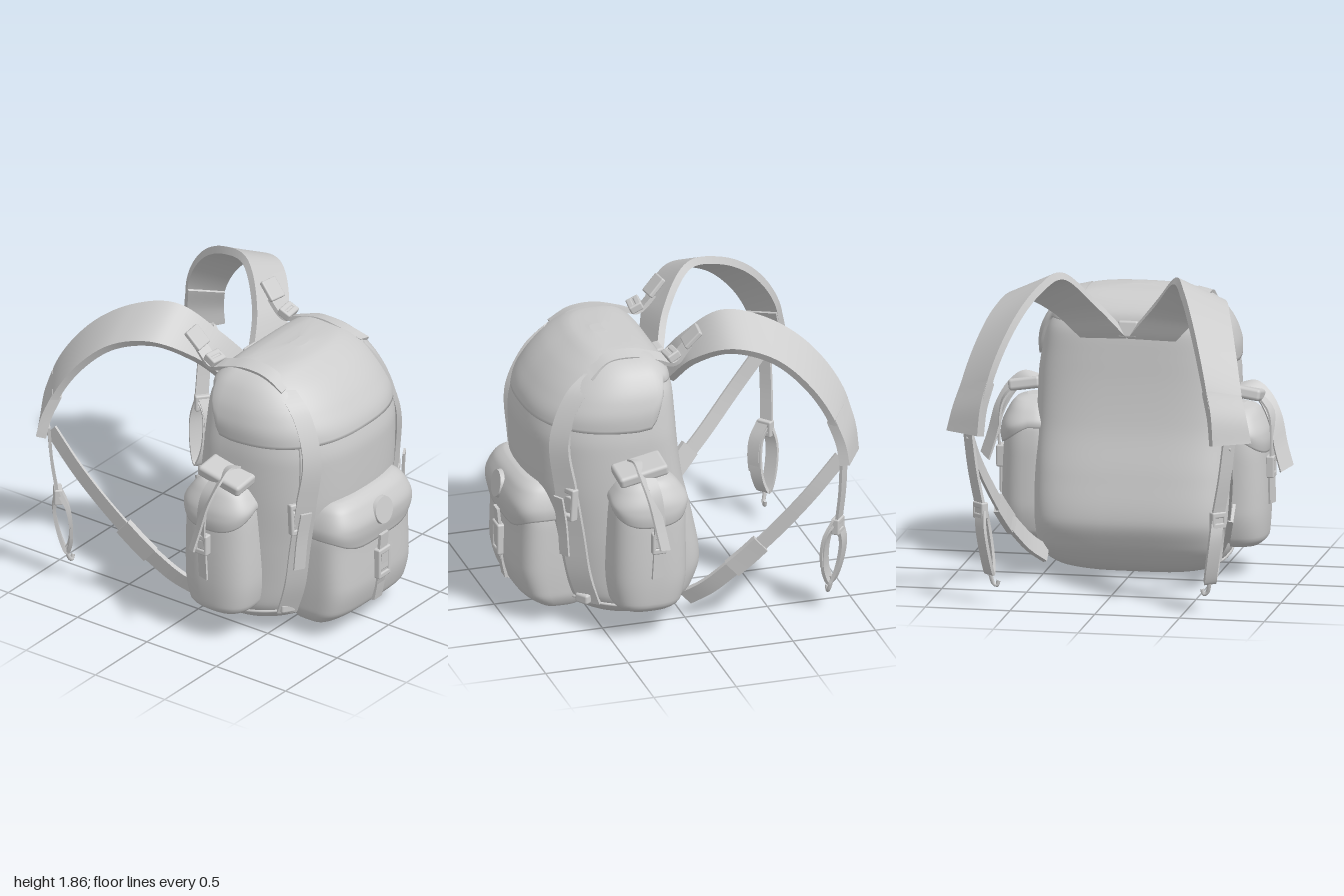
import * as THREE from 'three';
import { toCreasedNormals } from 'three/addons/utils/BufferGeometryUtils.js';
import { RoundedBoxGeometry } from 'three/addons/geometries/RoundedBoxGeometry.js';

const mat = new THREE.MeshStandardMaterial({ color: 0xcccccc, roughness: 0.8 });
const thin = new THREE.MeshStandardMaterial({ color: 0xcccccc, roughness: 0.8, side: THREE.DoubleSide });
const V = (x, y, z) => new THREE.Vector3(x, y, z);
const { lerp, clamp, smoothstep } = THREE.MathUtils;

// Lofted shapes: rows are [y, halfWidth, zBack, zFront]; mid = depth share where widest
const BODY = { cx: -.015, mid: 0.35, nf: 2.5, nb: 4, rows: [
  [0, .02, .24, .27], [.015, .28, .1, .42], [.05, .45, .03, .56], [.11, .53, -.03, .66], [.2, .57, -.09, .73],
  [.35, .58, -.14, .78], [.6, .585, -.1, .82], [.9, .585, -.03, .86], [1.15, .58, 0, .865], [1.3, .56, .01, .835],
  [1.43, .53, .02, .76], [1.54, .47, .06, .66], [1.61, .39, .13, .56], [1.645, .27, .22, .49], [1.66, .02, .35, .4]] };
const FRONT = { cx: -.02, mid: .5, nf: 4, nb: 4, rows: [
  [.06, .25, .58, .7], [.1, .35, .55, .83], [.18, .38, .5, .92], [.35, .385, .5, .955], [.6, .38, .5, .95],
  [.72, .365, .5, .96], [.82, .33, .53, .92], [.87, .27, .6, .86], [.885, .02, .72, .78]] };
const sidePocketShape = s => ({ cx: s * .6, mid: .5, nf: 2.6, nb: 2.6, rows: [
  [.16, .02, .25, .3], [.18, .13, .12, .43], [.23, .175, .07, .48], [.4, .185, .04, .5], [.7, .175, .04, .49],
  [.84, .16, .05, .48], [.93, .12, .1, .43], [.98, .08, .16, .37], [1, .02, .25, .3]] });

// Smooth monotone interpolation of a profile at height y
function section(shape, y) {
  const r = shape.rows, last = r.length - 1;
  let i = 0;
  while (i < last - 1 && y > r[i + 1][0]) i++;
  const h = r[i + 1][0] - r[i][0], t = clamp((y - r[i][0]) / h, 0, 1);
  const sec = (k, c) => (r[k + 1][c] - r[k][c]) / (r[k + 1][0] - r[k][0]);
  const slope = (k, c) => {
    if (k === 0) return sec(0, c);
    if (k === last) return sec(last - 1, c);
    const a = sec(k - 1, c), b = sec(k, c);
    return a * b <= 0 ? 0 : 2 * a * b / (a + b);
  };
  return [1, 2, 3].map(c => {
    const t2 = t * t, t3 = t2 * t;
    return (2 * t3 - 3 * t2 + 1) * r[i][c] + (t3 - 2 * t2 + t) * h * slope(i, c)
      + (3 * t2 - 2 * t3) * r[i + 1][c] + (t3 - t2) * h * slope(i + 1, c);
  });
}

function surfacePoint(shape, a, y, off = 0) {
  const [w, zb, zf] = section(shape, y), zc = lerp(zb, zf, shape.mid);
  const c = Math.cos(a), s = Math.sin(a), e = 2 / (s > 0 ? shape.nf : shape.nb);
  const d = s > 0 ? zf - zc : zc - zb;
  return V(shape.cx + (w + off) * Math.sign(c) * Math.abs(c) ** e, y, zc + (d + off) * Math.sign(s) * Math.abs(s) ** e);
}

// Depth of the front surface at x, y
function frontZ(shape, x, y, off = 0) {
  const [w, zb, zf] = section(shape, y), zc = lerp(zb, zf, shape.mid);
  const k = Math.min(1, Math.abs(x - shape.cx) / w);
  return zc + (zf - zc) * (1 - k ** shape.nf) ** (1 / shape.nf) + off;
}

// Centre of the top or bottom, where a loft closes
function pole(shape, row) {
  const [y, , zb, zf] = row;
  return V(shape.cx, y, lerp(zb, zf, shape.mid));
}

// Grid of points, closed around u, rows along v
function grid(nu, nv, f) {
  const pos = [], idx = [];
  for (let j = 0; j <= nv; j++) for (let i = 0; i < nu; i++) pos.push(...f(i, j).toArray());
  for (let j = 0; j < nv; j++) for (let i = 0; i < nu; i++) {
    const k = (i + 1) % nu, a = j * nu + i, b = j * nu + k, c = a + nu, d = b + nu;
    idx.push(a, c, b, b, c, d);
  }
  const g = new THREE.BufferGeometry();
  g.setAttribute('position', new THREE.Float32BufferAttribute(pos, 3));
  g.setIndex(idx);
  g.computeVertexNormals();
  return g;
}

function loft(shape, nu = 72, nv = 60) {
  const first = shape.rows[0], last = shape.rows.at(-1);
  return grid(nu, nv + 2, (i, j) => {
    if (j === 0 || j === nv + 2) return pole(shape, j ? last : first);
    return surfacePoint(shape, i / nu * Math.PI * 2, lerp(first[0], last[0], (1 - Math.cos(Math.PI * (j - 1) / nv)) / 2));
  });
}

// Flap lying over the top of a loft, with a rounded lower edge
function flap(shape, edge, off, nu = 72, nv = 36) {
  const last = shape.rows.at(-1);
  return grid(nu, nv + 1, (i, j) => {
    const a = i / nu * Math.PI * 2, v = clamp((j - 1) / (nv - 1), 0, 1);
    const puff = j === 0 ? -.01 : off(a) * (.4 + .6 * Math.sin(Math.min(1, v * 5) * Math.PI / 2));
    const p = j > nv ? pole(shape, last) : surfacePoint(shape, a, lerp(edge(a), last[0], Math.sin(v * Math.PI / 2)), puff);
    p.y += .012 * v;
    return p;
  });
}

// Flat band between two edge curves, with thickness and closed ends
function band(A, B, thick, n = 24) {
  const ca = new THREE.CatmullRomCurve3(A), cb = new THREE.CatmullRomCurve3(B);
  return toCreasedNormals(grid(4, n + 2, (i, j) => {
    const t = clamp((j - 1) / n, 0, 1), a = ca.getPoint(t), b = cb.getPoint(t);
    if (j === 0 || j === n + 2) return a.add(b).multiplyScalar(.5);
    const T = ca.getTangent(t).add(cb.getTangent(t));
    const N = b.clone().sub(a).cross(T).normalize().multiplyScalar(thick / 2);
    return (i === 0 || i === 3 ? b : a).add(i < 2 ? N : N.negate());
  }), .7);
}
const strap = (pts, w, thick = .015, n = 24) =>
  band(pts.map(p => p.clone().addScaledVector(w, -.5)), pts.map(p => p.clone().addScaledVector(w, .5)), thick, n);

export function createModel() {
  const root = new THREE.Group();
  const add = (name, geo, m = mat) => {
    const o = new THREE.Mesh(geo, m);
    o.name = name;
    root.add(o);
    return o;
  };
  const tube = (name, pts, r, n = 80) =>
    add(name, new THREE.TubeGeometry(new THREE.CatmullRomCurve3(pts), n, r, 8));
  const box = (name, size, p, rot = [0, 0, 0]) => {
    const o = add(name, new RoundedBoxGeometry(...size, 2, Math.min(...size) * .3));
    o.position.copy(p);
    o.rotation.set(...rot);
  };
  // Ladder buckle: rim and middle bar around a strap
  const buckle = (name, w, h, p, rot) => {
    const g = new THREE.Group();
    const part = (x, y, sx, sy, sz = .05) => {
      const m = new THREE.Mesh(new RoundedBoxGeometry(sx, sy, sz, 2, .01), mat);
      m.position.set(x, y, 0);
      g.add(m);
    };
    for (const k of [-1, 1]) {
      part(k * (w / 2 - .01), 0, .022, h);
      part(0, k * (h / 2 - .018), w, .036);
    }
    part(0, 0, w * .72, h * .5, .04);
    g.name = name;
    g.position.copy(p);
    g.rotation.set(...rot);
    root.add(g);
  };

  // Main bag, and lid puffed out at the sides
  add('mainBag', loft(BODY, 96, 80));
  add('lid', flap(BODY, a => 1.25 + .02 * Math.sin(a) + .26 * smoothstep(-Math.sin(a), .02, .4),
    a => .012 + .024 * Math.abs(Math.cos(a)) ** 3, 96), thin);
  tube('baseSeam', Array.from({ length: 31 }, (_, i) => {
    const a = lerp(-.5, Math.PI + .5, i / 30);
    return surfacePoint(BODY, a, .12 + .05 * Math.sin(a), .003);
  }), .01, 120);

  // Front pocket with flap, badge and closing strap
  add('frontPocket', loft(FRONT));
  add('frontPocketFlap', flap(FRONT, a => .66 - .08 * Math.max(0, Math.sin(a)) ** 3, () => .022), thin);
  const badge = add('badge', new THREE.CylinderGeometry(.08, .085, .025, 32));
  badge.position.set(-.02, .76, .973);
  badge.rotation.x = Math.PI / 2 - .2;
  add('frontPocketStrap', strap([V(-.02, .61, .98), V(-.02, .45, .965), V(-.02, .3, .955), V(-.02, .17, .93)], V(.075, 0, 0), .018));
  buckle('frontPocketBuckle', .11, .19, V(-.02, .42, .967), [0, 0, 0]);
  add('frontPocketStrapTail', strap([V(-.02, .5, .985), V(-.02, .35, .975), V(-.02, .16, .915)], V(.06, 0, 0), .01));

  // Patch joining the shoulder straps
  box('yokePatch', [.12, .1, .05], V(0, 1.47, .005), [.2, 0, 0]);

  for (const s of [-1, 1]) {
    const P = (x, y, z) => V(s * x, y, z);

    // Vertical side seam
    const seamAngle = s > 0 ? .75 : Math.PI - .75;
    tube('sideSeam', Array.from({ length: 13 }, (_, i) => surfacePoint(BODY, seamAngle, .16 + i * .092, .002)), .01);

    // Compression strap down the front, its buckle and its loose end
    const edge = side => [[1.56, .385], [1.45, .4], [1.2, .43], [.9, .455], [.6, .455], [.35, .45], [.15, .44]].map(([y, x]) => {
      const xx = s * (x + side * .042);
      return V(xx, y, frontZ(BODY, xx, y, .025));
    });
    add('compressionStrap', band(edge(-1), edge(1), .028, 48));
    buckle('compressionBuckle', .105, .2, P(.47, .81, frontZ(BODY, .47, .81, .03)), [-.05, s * .45, 0]);
    add('compressionStrapTail', strap([P(.475, .86, .76), P(.49, .7, .74), P(.505, .5, .73)], P(.06, 0, -.035), .014));
    box('compressionAnchor', [.09, .06, .05], P(.44, .18, frontZ(BODY, .44, .18, .03)), [0, s * .6, 0]);

    // Strap over the lid to the load adjuster, which sits further in on the left
    const lx = s > 0 ? .33 : .38;
    add('lidStrap', strap([P(lx, 1.66, -.08), P(lx, 1.57, .02), P(lx, 1.6, .12), P(lx, 1.64, .27), P(lx, 1.63, .42), P(.38, 1.565, .54)], P(.085, -.02, 0), .025, 32));
    buckle('loadAdjusterBuckle', .11, .08, P(lx, 1.61, .03), [-1.1, 0, s * .1]);
    box('loadAdjusterPatch', [.12, .13, .03], P(lx + .01, 1.71, -.09), [-.75, 0, s * -.1]);

    // Side pocket with pouch flap, rolled strap and tails
    const shape = sidePocketShape(s);
    add('sidePocket', loft(shape, 56, 40));
    add('sidePocketFlap', flap(shape, a => .85 - .12 * Math.max(0, s * Math.cos(a)), () => .026, 56), thin);
    box('sidePocketRoll', [.19, .07, .3], P(.65, 1.055, .32), [.2, 0, s * -.15]);
    add('sidePocketStrap', strap([P(.56, 1.08, .34), P(.66, 1.1, .33), P(.74, 1.04, .32), P(.81, .92, .29), P(.85, .76, .26), P(.89, .63, .24)], P(.06, .03, .075), .012));
    add('sidePocketTail', strap([P(.7, 1.07, .3), P(.79, .96, .27), P(.81, .78, .25), P(.8, .6, .25), P(.8, .42, .26)], P(.02, 0, .07), .012));
    buckle('sidePocketBuckle', .085, .13, P(.795, .64, .25), [0, Math.PI / 2, 0]);

    // Padded shoulder strap, from the yoke over the shoulder
    const inner = [P(0, 1.43, 0), P(.18, 1.65, -.1), P(.33, 1.835, -.28), P(.42, 1.8, -.5), P(.52, 1.65, -.73), P(.62, 1.38, -.91), P(.69, 1.04, -.965)];
    const outer = [P(.28, 1.42, .02), P(.45, 1.6, -.07), P(.61, 1.71, -.25), P(.69, 1.65, -.48), P(.76, 1.48, -.67), P(.82, 1.26, -.8), P(.87, 1.04, -.85)];
    add('shoulderStrap', band(inner, outer, .045, 60));
    add('shoulderStrapEnd', band([P(.63, 1.33, -.92), P(.665, 1.18, -.955), P(.68, 1.02, -.97)], [P(.81, 1.28, -.79), P(.855, 1.14, -.835), P(.885, 1.02, -.85)], .06, 10));

    // Webbing from shoulder strap to the bottom of the bag
    const across = P(0, .066, .06);
    add('lowerWebbing', strap([P(.77, 1.02, -.86), P(.75, .8, -.68), P(.7, .57, -.48), P(.65, .39, -.3), P(.56, .21, -.12), P(.49, .13, -.03)], across, .016));
    add('lowerBuckle', strap([P(.69, .5, -.4), P(.665, .42, -.325), P(.64, .34, -.24)], P(0, .09, .08), .035, 6));
    add('lowerAnchor', strap([P(.64, .35, -.25), P(.56, .21, -.12), P(.48, .12, -.01)], P(0, .075, .07), .028, 8));

    // Hanging webbing with a folded loop and hook
    const wide = P(.06, 0, .05);
    add('hangingWebbing', strap([P(.77, 1.04, -.88), P(.74, .8, -.88), P(.7, .58, -.87)], wide, .018));
    buckle('hangingBuckle', .09, .1, P(.7, .56, -.865), [0, s * -.7, 0]);
    add('hangingLoop', strap([P(.7, .58, -.87), P(.69, .45, -.9), P(.66, .24, -.87), P(.65, .18, -.84), P(.66, .28, -.8), P(.69, .5, -.81), P(.7, .58, -.86)], wide, .02, 32));
    add('hangingTail', strap([P(.7, .6, -.85), P(.69, .5, -.8), P(.68, .4, -.785), P(.67, .3, -.79)], wide, .016, 12));
    tube('hook', [P(.655, .22, -.84), P(.645, .17, -.84), P(.63, .12, -.83), P(.61, .11, -.83), P(.6, .14, -.83)], .012, 20);
  }
  return root;
}
